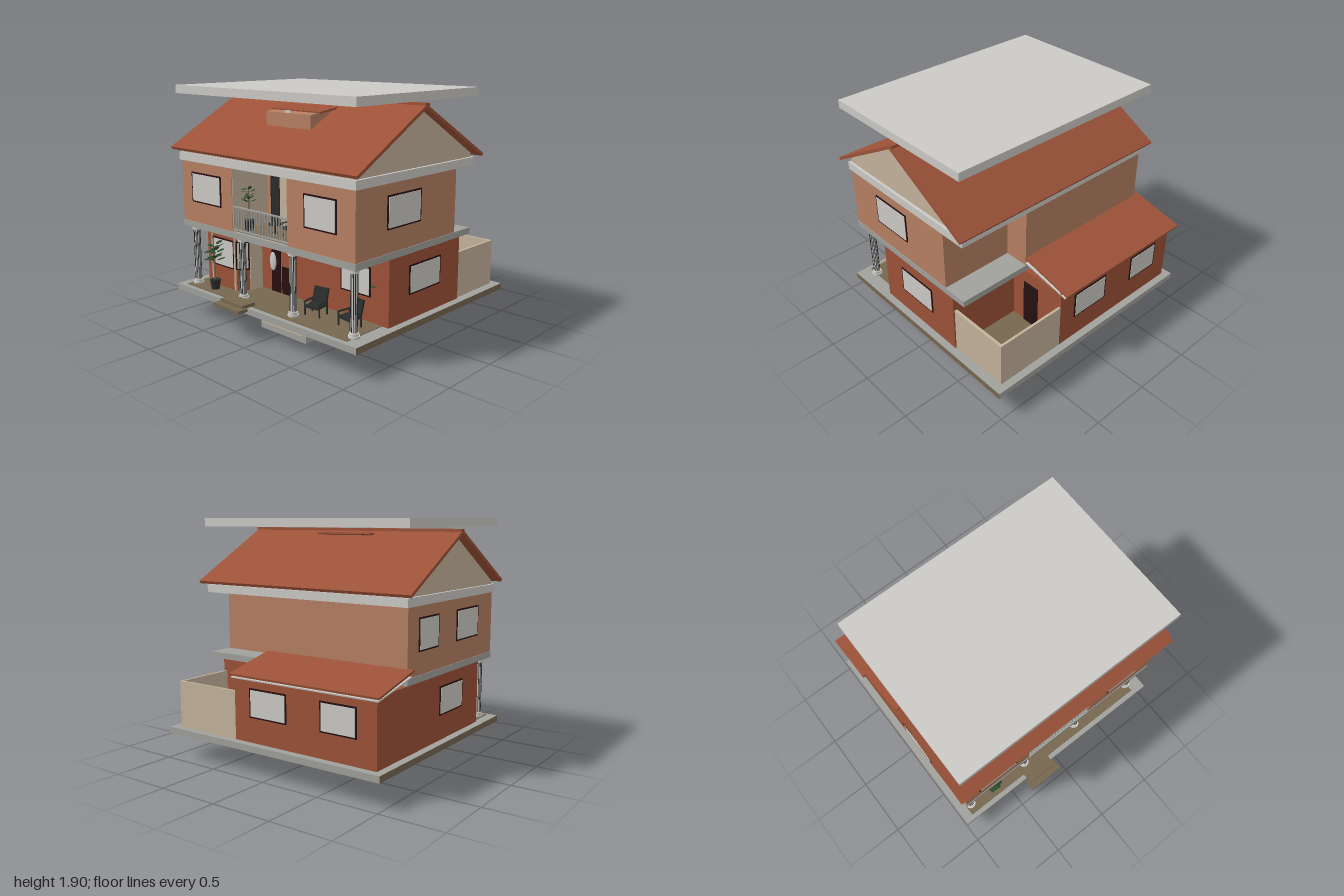
import * as THREE from 'three';

const mat = (name, color) => {
  const m = new THREE.MeshStandardMaterial({ color });
  m.name = name;
  return m;
};

export function createModel() {
  const brick = mat('brick red', 0x9c5238), clay = mat('light clay', 0xb67f63), white = mat('white', 0xcbcac6);
  const grey = mat('concrete grey', 0xa0a09c), beige = mat('beige', 0xc3b39b), brown = mat('floor brown', 0x776750);
  const dark = mat('dark wood', 0x260f0f), charcoal = mat('charcoal', 0x2a2d2d), green = mat('leaf green', 0x2b4a2b);
  const house = new THREE.Group();
  house.name = 'house';

  const add = (name, geo, material, parent = house) => {
    const m = new THREE.Mesh(geo, material);
    m.name = name;
    parent.add(m);
    return m;
  };
  // Box from its minimum and maximum on each axis
  const box = (name, material, x0, x1, y0, y1, z0, z1, parent = house) =>
    add(name, new THREE.BoxGeometry(x1 - x0, y1 - y0, z1 - z0)
      .translate((x0 + x1) / 2, (y0 + y1) / 2, (z0 + z1) / 2), material, parent);
  const shapeOf = pts => new THREE.Shape(pts.map(p => new THREE.Vector2(...p)));
  // Vertical prism from an (x, z) footprint
  const prism = (name, material, pts, y0, y1) =>
    add(name, new THREE.ExtrudeGeometry(shapeOf(pts.map(([x, z]) => [x, -z])), { depth: y1 - y0, bevelEnabled: false })
      .rotateX(-Math.PI / 2).translate(0, y0, 0), material);
  // Sideways prism from a (z, y) profile
  const profile = (name, material, pts, x0, x1) =>
    add(name, new THREE.ExtrudeGeometry(shapeOf(pts.map(([z, y]) => [-z, y])), { depth: x1 - x0, bevelEnabled: false })
      .rotateY(Math.PI / 2).translate(x0, 0, 0), material);
  // Sloping slab between two (z, y) points
  const slope = (name, material, z0, y0, z1, y1, t, x0, x1) =>
    add(name, new THREE.BoxGeometry(x1 - x0, t, Math.hypot(z1 - z0, y1 - y0))
      .rotateX(-Math.atan2(y1 - y0, z1 - z0))
      .translate((x0 + x1) / 2, (y0 + y1) / 2, (z0 + z1) / 2), material);
  const group = (name, x, y, z, turn = 0) => {
    const g = new THREE.Group();
    g.name = name;
    g.position.set(x, y, z);
    g.rotation.y = turn;
    house.add(g);
    return g;
  };
  const windowAt = (x, y, z, w, h, turn = 0, edge = 0.012) => {
    const g = group('window', x, y, z, turn);
    box('windowFrame', dark, -w / 2, w / 2, -h / 2, h / 2, -0.002, 0.005, g);
    box('windowPane', white, -w / 2 + edge, w / 2 - edge, -h / 2 + edge, h / 2 - edge, 0, 0.008, g);
    return g;
  };

  // Ground slab, floors and entrance steps
  add('groundSlab', new THREE.BoxGeometry(2, 0.05, 1.85).translate(0, 0.225, -0.055),
    [brown, brown, grey, grey, grey, grey]);
  box('porchFloor', brown, -0.92, 0.88, 0.249, 0.255, 0.45, 0.83);
  box('upperStep', brown, -0.36, -0.1, 0.255, 0.283, 0.8, 0.925);
  box('lowerStep', brown, -0.38, -0.08, 0.235, 0.26, 0.89, 0.98);

  // Sunken pit below the slab
  box('pitFloor', grey, -0.17, 0.33, 0.025, 0.078, 0.41, 0.675);
  box('pitFrontWall', beige, -0.16, 0.31, 0.078, 0.2, 0.67, 0.685);
  box('pitSideWall', beige, 0.295, 0.31, 0.078, 0.2, 0.41, 0.67);
  box('pitSideWall', brick, -0.165, -0.155, 0.078, 0.2, 0.41, 0.685);
  box('pitBackWall', beige, -0.16, 0.31, 0.078, 0.2, 0.405, 0.42);
  box('pitAnnexWall', beige, 0.06, 0.075, 0.085, 0.2, 0.24, 0.41);
  box('pitAnnexWall', beige, -0.16, 0.075, 0.085, 0.2, 0.24, 0.255);
  box('pitStairPanel', beige, 0.075, 0.09, 0, 0.19, 0.255, 0.41);

  // Lower storey with its bay
  prism('lowerWalls', brick, [[-0.94, 0.585], [-0.4, 0.585], [-0.4, 0.455], [0.94, 0.455], [0.94, -0.41],
    [0.33, -0.41], [0.33, -0.92], [-0.94, -0.92]], 0.25, 0.755);
  prism('bay', brick, [[-0.85, 0.58], [-0.765, 0.67], [-0.48, 0.67], [-0.395, 0.58]], 0.25, 0.76);
  box('entrySideWall', beige, -0.401, -0.393, 0.25, 0.76, 0.455, 0.585);
  for (const x of [-0.765, -0.48]) box('bayPost', beige, x - 0.007, x + 0.007, 0.25, 0.76, 0.66, 0.678);
  windowAt(-0.6225, 0.55, 0.671, 0.27, 0.24);
  windowAt(-0.807, 0.55, 0.626, 0.112, 0.24, -0.814);
  windowAt(-0.438, 0.55, 0.626, 0.112, 0.24, 0.814);
  windowAt(0.628, 0.555, 0.456, 0.29, 0.225);
  windowAt(0.941, 0.555, 0.035, 0.385, 0.225, Math.PI / 2);
  windowAt(-0.941, 0.555, 0.12, 0.37, 0.225, -Math.PI / 2);
  windowAt(0.005, 0.555, -0.921, 0.35, 0.225, Math.PI);
  windowAt(-0.625, 0.555, -0.921, 0.31, 0.225, Math.PI);
  box('frontDoor', dark, -0.27, -0.17, 0.25, 0.65, 0.45, 0.464);
  box('lowDoor', dark, -0.15, 0, 0.25, 0.48, 0.45, 0.464);
  box('yardDoor', dark, 0.325, 0.337, 0.25, 0.645, -0.68, -0.53);
  add('ovalLamp', new THREE.SphereGeometry(0.5, 20, 12).scale(0.07, 0.155, 0.03).translate(-0.24, 0.51, 0.475), white);

  // Walled yard with its appliances
  box('yardFloor', brown, 0.33, 0.91, 0.249, 0.256, -0.9, -0.41);
  box('yardSideWall', beige, 0.905, 0.928, 0.25, 0.625, -0.92, -0.41);
  box('yardBackWall', beige, 0.33, 0.905, 0.25, 0.625, -0.92, -0.9);
  box('sink', grey, 0.365, 0.49, 0.255, 0.4, -0.88, -0.79);
  for (const x of [0.64, 0.77]) box('washer', white, x, x + 0.11, 0.255, 0.42, -0.88, -0.77);

  // Porch columns with flutes
  for (const x of [-0.875, -0.295, 0.27, 0.87]) {
    const c = group('column', x, 0.25, 0.745);
    add('columnShaft', new THREE.CylinderGeometry(0.024, 0.026, 0.5, 16).translate(0, 0.255, 0), white, c);
    for (let i = 0; i < 12; i++) {
      const a = i * Math.PI / 6;
      add('columnFlute', new THREE.BoxGeometry(0.004, 0.42, 0.004)
        .translate(Math.sin(a) * 0.025, 0.255, Math.cos(a) * 0.025), charcoal, c);
    }
    for (const [r, y] of [[0.043, 0.01], [0.035, 0.027], [0.035, 0.48], [0.043, 0.497]])
      add('columnRing', new THREE.CylinderGeometry(r, r, 0.02, 20).translate(0, y, 0), white, c);
  }

  // Upper storey with balcony recess and rear notch
  box('upperFloorSlab', grey, -0.945, 0.945, 0.757, 0.807, -0.545, 0.82);
  prism('upperWalls', clay, [[-0.94, 0.815], [-0.32, 0.815], [-0.32, 0.455], [0.29, 0.455], [0.29, 0.815], [0.94, 0.815],
    [0.94, -0.335], [0.33, -0.335], [0.33, -0.54], [-0.94, -0.54]], 0.805, 1.31);
  box('recessSideWall', beige, -0.322, -0.314, 0.807, 1.305, 0.456, 0.81);
  box('balconyFloor', brown, -0.315, 0.29, 0.805, 0.811, 0.455, 0.79);
  windowAt(-0.63, 1.098, 0.816, 0.365, 0.245);
  windowAt(0.618, 1.098, 0.816, 0.31, 0.245);
  windowAt(0.941, 1.098, 0.298, 0.385, 0.245, Math.PI / 2);
  windowAt(-0.941, 1.098, 0.37, 0.37, 0.245, -Math.PI / 2);
  windowAt(-0.941, 1.098, -0.245, 0.29, 0.245, -Math.PI / 2);
  const grid = windowAt(0.185, 1.11, 0.456, 0.17, 0.3);
  for (const x of [-0.027, 0.027]) box('windowBar', dark, x - 0.003, x + 0.003, -0.15, 0.15, 0, 0.012, grid);
  for (const y of [-0.075, 0, 0.075]) box('windowBar', dark, -0.085, 0.085, y - 0.003, y + 0.003, 0, 0.012, grid);
  box('balconyDoorFrame', dark, -0.27, -0.07, 0.81, 1.22, 0.45, 0.461);
  box('balconyDoorOpening', charcoal, -0.26, -0.165, 0.81, 1.21, 0.45, 0.464);
  box('balconyDoorPanel', beige, -0.16, -0.08, 0.81, 1.21, 0.45, 0.464);

  // Balcony railing
  for (const y of [0.825, 1.005]) box('rail', grey, -0.32, 0.29, y - 0.005, y + 0.005, 0.795, 0.81);
  for (let i = 0; i <= 20; i++) {
    const x = -0.315 + i * 0.03;
    box('railBar', grey, x - 0.003, x + 0.003, 0.825, 1.005, 0.799, 0.806);
  }

  // Main roof, gables and cornice
  box('cornice', white, -0.953, 0.953, 1.305, 1.37, -0.565, 0.83);
  profile('gable', beige, [[0.815, 1.36], [0.815, 1.4], [0.135, 1.79], [-0.54, 1.4], [-0.54, 1.36]], -0.93, 0.93);
  slope('frontRoof', brick, 0.125, 1.815, 0.87, 1.4, 0.024, -1, 1);
  slope('backRoof', brick, -0.605, 1.388, 0.135, 1.8, 0.024, -1, 1);
  box('ridgeCap', brick, -1, 1, 1.805, 1.827, 0.11, 0.16);

  // Dormer
  profile('dormer', clay, [[0.515, 1.612], [0.515, 1.72], [0.05, 1.775], [0.2, 1.7]], -0.24, 0.237);
  slope('dormerRoof', brick, 0.02, 1.787, 0.44, 1.732, 0.014, -0.26, 0.26);
  add('dormerVent', new THREE.CylinderGeometry(0.035, 0.035, 0.008, 20, 1, false, Math.PI / 2, Math.PI)
    .rotateX(Math.PI / 2).scale(1, 0.6, 1).translate(0, 1.722, 0.518), white);

  // Floating top slab and rear lean-to roof
  box('topSlab', white, -0.96, 0.96, 1.84, 1.905, -0.57, 0.835);
  slope('leanToRoof', brick, -0.978, 0.762, -0.525, 0.872, 0.016, -0.99, 0.33);
  slope('leanToCeiling', white, -0.96, 0.738, -0.54, 0.826, 0.01, -0.975, 0.33);

  // Armchairs and balcony table
  const chair = (x, y, z, turn) => {
    const g = group('armchair', x, y, z, turn);
    box('seat', charcoal, -0.06, 0.06, 0.06, 0.08, -0.05, 0.06, g);
    add('backrest', new THREE.BoxGeometry(0.125, 0.13, 0.018).rotateX(-0.25).translate(0, 0.13, -0.06), charcoal, g);
    for (const s of [-0.066, 0.066]) {
      box('armrest', charcoal, s - 0.006, s + 0.006, 0.1, 0.11, -0.05, 0.06, g);
      for (const d of [-0.045, 0.053]) box('leg', charcoal, s - 0.005, s + 0.005, 0, 0.105, d - 0.005, d + 0.005, g);
    }
  };
  chair(0.375, 0.255, 0.61, 0.15);
  chair(0.715, 0.255, 0.61, -0.15);
  chair(0.15, 0.811, 0.62, -0.1);
  add('tableTop', new THREE.CylinderGeometry(0.055, 0.055, 0.008, 20).translate(-0.03, 0.885, 0.64), charcoal);
  add('tableLeg', new THREE.CylinderGeometry(0.006, 0.02, 0.075, 10).translate(-0.03, 0.847, 0.64), charcoal);

  // Potted plants with a spiral of broad leaves
  const plant = (x, y, z, stem, spread, leaves, pot = true) => {
    const g = group('plant', x, y, z);
    if (pot) {
      add('pot', new THREE.CylinderGeometry(0.045, 0.033, 0.08, 16).translate(0, 0.04, 0), charcoal, g);
      add('stem', new THREE.CylinderGeometry(0.005, 0.007, stem, 8).translate(0, 0.07 + stem / 2, 0), brown, g);
    }
    for (let i = 0; i < leaves; i++) {
      const leaf = add('leaf', new THREE.SphereGeometry(0.5, 8, 5)
        .scale(spread * 0.4, spread * 0.05, spread * 0.65).translate(0, 0, spread * 0.5), green, g);
      leaf.position.y = (pot ? 0.07 : 0) + stem * (0.55 + 0.5 * i / leaves);
      leaf.rotation.set(-0.7 + 1.1 * ((i * 0.37) % 1), i * 2.4, 0, 'YXZ');
    }
  };
  plant(-0.645, 0.255, 0.75, 0.29, 0.11, 18);
  plant(-0.26, 0.811, 0.7, 0.26, 0.075, 14);
  plant(0.815, 0.51, 0.48, 0.03, 0.03, 8, false);

  return house;
}
